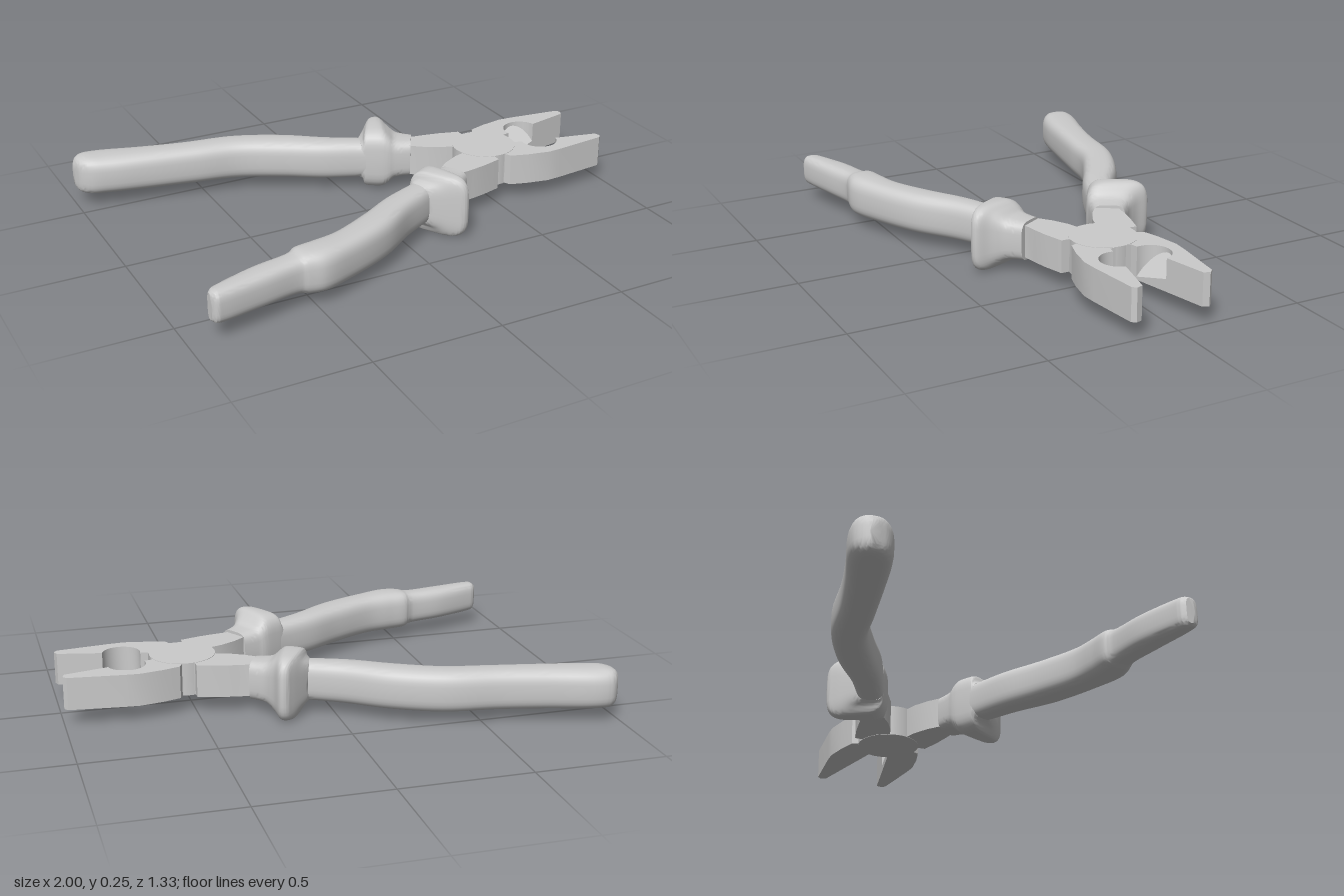
import * as THREE from 'three';
import { toCreasedNormals } from 'three/addons/utils/BufferGeometryUtils.js';

const MID_Y = 0.125, AXIS_Z = 0.02, HALF_METAL = 0.063;
const material = new THREE.MeshStandardMaterial({ color: 0xcccccc, side: THREE.DoubleSide });

function part(name, geometry) {
  const mesh = new THREE.Mesh(geometry, material);
  mesh.name = name;
  return mesh;
}

// Rounded-rectangle loft. Station: [innerX, innerW, outerX, outerW, halfHeight],
// where w is the distance from the tool's long axis; side mirrors it in z.
function loft(stations, side, steps, power) {
  const curve = (f) => new THREE.CatmullRomCurve3(stations.map(f), false, 'centripetal');
  const SEG = 36, pos = [], index = [];
  const inner = curve((s) => new THREE.Vector3(s[0], s[4], s[1]));
  const outer = curve((s) => new THREE.Vector3(s[2], s[4], s[3]));
  const rnd = (v) => Math.sign(v) * Math.pow(Math.abs(v), 2 / power);
  for (let i = 0; i <= steps; i++) {
    const a = inner.getPoint(i / steps), b = outer.getPoint(i / steps);
    const h = (a.y + b.y) / 2;
    for (let j = 0; j < SEG; j++) {
      const t = (j / SEG) * Math.PI * 2;
      const k = 0.5 + 0.5 * rnd(Math.cos(t));
      pos.push(a.x + (b.x - a.x) * k, MID_Y + h * rnd(Math.sin(t)),
        AXIS_Z + side * (a.z + (b.z - a.z) * k));
    }
  }
  const tri = (a, b, c) => (side > 0 ? index.push(a, b, c) : index.push(a, c, b));
  for (let i = 0; i < steps; i++) {
    for (let j = 0; j < SEG; j++) {
      const n = (j + 1) % SEG, a = i * SEG + j, b = i * SEG + n;
      tri(a, a + SEG, b);
      tri(b, a + SEG, b + SEG);
    }
  }
  // flat end caps
  const last = steps * SEG;
  for (let j = 1; j < SEG - 1; j++) {
    tri(0, j, j + 1);
    tri(last, last + j + 1, last + j);
  }
  const g = new THREE.BufferGeometry();
  g.setAttribute('position', new THREE.Float32BufferAttribute(pos, 3));
  g.setIndex(index);
  return toCreasedNormals(g, 0.6);
}

// Plate lying flat, from an outline of [x, w] points
function plate(points, side, bottom, top) {
  const shape = new THREE.Shape(points.map(([x, w]) => new THREE.Vector2(x, AXIS_Z + side * w)));
  const g = new THREE.ExtrudeGeometry(shape, { depth: top - bottom, bevelEnabled: false });
  g.rotateX(Math.PI / 2);
  g.translate(0, top, 0);
  return toCreasedNormals(g, 0.5);
}

// Half circle of the pipe grip in the jaw's gripping edge
const TILT = 0.228;
const gripArc = Array.from({ length: 19 }, (_, i) => {
  const a = TILT + (Math.PI * i) / 18;
  return [0.75 + 0.073 * Math.cos(a), 0.066 + 0.073 * Math.sin(a)];
});

// Half of the metal body: tang, joint half, jaw
const metalOutline = [
  [0.4, 0], [0.41, 0.036], [0.36, 0.052], [0.3, 0.085], [0.25, 0.125], [0.2, 0.17],
  [0.24, 0.23], [0.305, 0.2], [0.36, 0.192], [0.42, 0.18], [0.5, 0.157], [0.5, 0.125],
  [0.55, 0.125], [0.562, 0.15], [0.63, 0.171], [0.72, 0.188], [0.78, 0.184], [0.985, 0.16],
  [0.998, 0.145], [0.99, 0.121], ...gripArc, [0.65, 0.043], [0.65, 0],
];

// Main stretch of the grip, shared by both handles
const gripStations = [
  [-0.37, 0.415, -0.35, 0.553, 0.08],
  [-0.21, 0.335, -0.16, 0.467, 0.08],
  [-0.075, 0.255, -0.01, 0.36, 0.079],
  [0.07, 0.19, 0.13, 0.28, 0.076],
  [0.14, 0.155, 0.19, 0.235, 0.074],
];
const fullEnd = [
  [-0.998, 0.605, -0.998, 0.637, 0.045],
  [-0.985, 0.572, -0.985, 0.66, 0.066],
  [-0.95, 0.54, -0.96, 0.682, 0.076],
  [-0.87, 0.513, -0.91, 0.684, 0.078],
  [-0.72, 0.482, -0.73, 0.632, 0.078],
  [-0.53, 0.446, -0.56, 0.59, 0.078],
];
const slimEnd = [
  [-0.914, 0.585, -0.912, 0.62, 0.05],
  [-0.9, 0.566, -0.9, 0.639, 0.06],
  [-0.87, 0.552, -0.87, 0.638, 0.063],
  [-0.72, 0.497, -0.71, 0.607, 0.066],
  [-0.57, 0.466, -0.56, 0.576, 0.07],
  [-0.545, 0.449, -0.53, 0.582, 0.078],
  [-0.47, 0.437, -0.47, 0.591, 0.082],
];

// Finger guard flaring into a short sleeve
const collarStations = [
  [0.07, 0.193, 0.1, 0.29, 0.076],
  [0.075, 0.19, 0.14, 0.325, 0.092],
  [0.08, 0.186, 0.185, 0.362, 0.119],
  [0.1, 0.173, 0.21, 0.378, 0.125],
  [0.145, 0.146, 0.232, 0.372, 0.124],
  [0.165, 0.138, 0.245, 0.318, 0.105],
  [0.185, 0.134, 0.265, 0.275, 0.083],
  [0.215, 0.125, 0.29, 0.247, 0.077],
  [0.25, 0.114, 0.315, 0.223, 0.075],
];

export function createModel() {
  const model = new THREE.Group();
  model.name = 'pliers';
  const bottom = MID_Y - HALF_METAL, top = MID_Y + HALF_METAL;

  for (const side of [1, -1]) {
    const half = new THREE.Group();
    half.name = side > 0 ? 'frontHalf' : 'backHalf';
    half.add(part('jawAndTang', plate(metalOutline, side, bottom, top)));

    // floor of the pipe grip: level in front, sloping up outward at the back
    const floor = plate(gripArc, side, bottom, bottom + 0.03);
    if (side < 0) {
      const p = floor.attributes.position;
      for (let i = 0; i < p.count; i++) {
        if (p.getY(i) > bottom + 0.01) {
          const w = AXIS_Z - p.getZ(i);
          p.setY(i, bottom + 0.012 + Math.max(0, w - 0.05) * 1.1);
        }
      }
      floor.computeVertexNormals();
    }
    half.add(part('gripFloor', floor));

    const end = side > 0 ? slimEnd : fullEnd;
    half.add(part('handle', loft([...end, ...gripStations], side, 66, 3.2)));
    half.add(part('fingerGuard', loft(collarStations, side, 40, 4)));
    model.add(half);
  }

  // joint disc, standing just proud of the plates
  const disc = new THREE.CylinderGeometry(0.127, 0.127, 2 * HALF_METAL + 0.003, 48);
  disc.translate(0.525, MID_Y, AXIS_Z);
  model.add(part('jointDisc', disc));
  return model;
}
